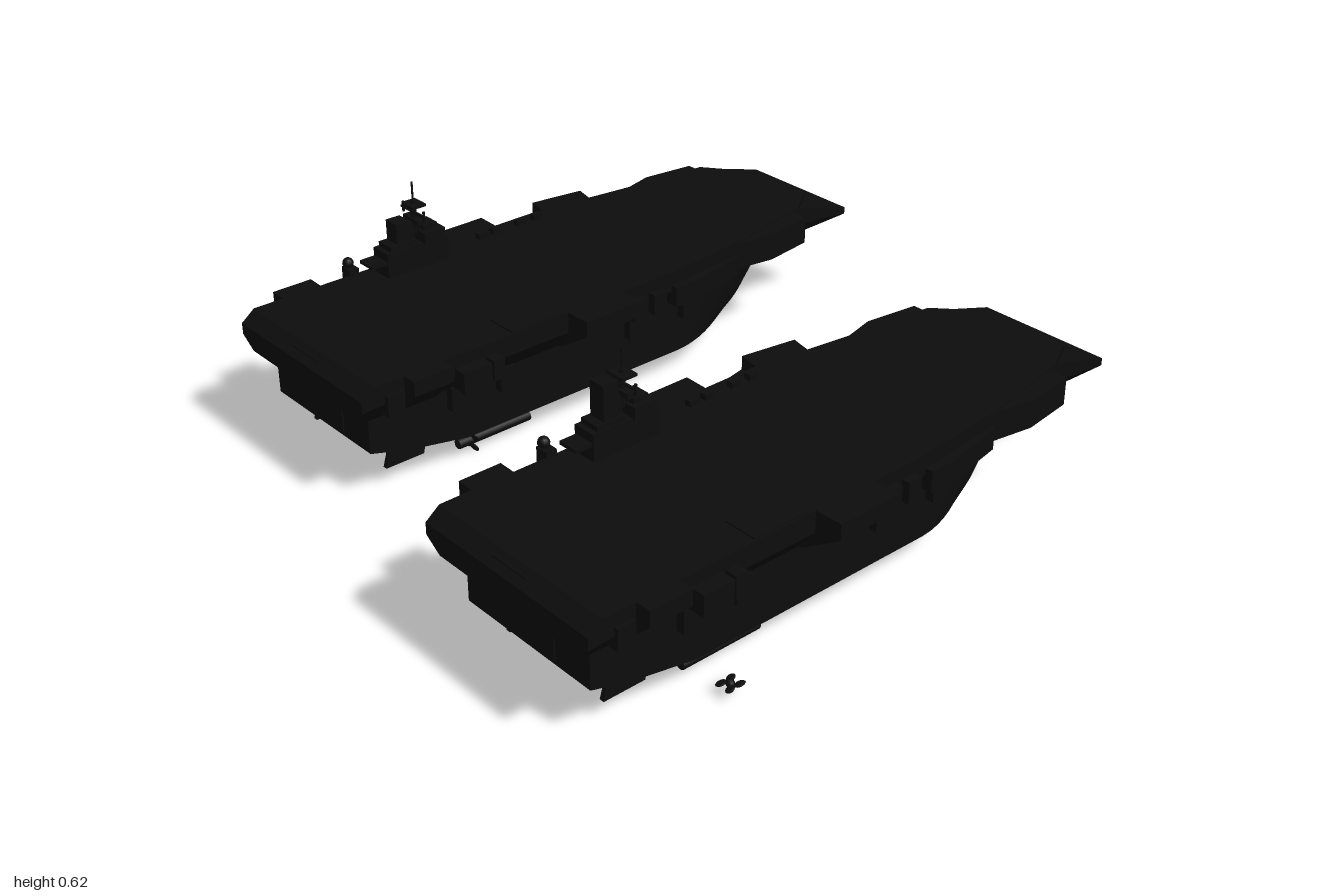
import * as THREE from 'three';
import { toCreasedNormals } from 'three/addons/utils/BufferGeometryUtils.js';

const paint = new THREE.MeshStandardMaterial({ color: 0x0d0d0d });
paint.name = 'near black paint';

function add(group, name, geometry, x = 0, y = 0, z = 0) {
  const mesh = new THREE.Mesh(geometry, paint);
  mesh.name = name;
  mesh.position.set(x, y, z);
  group.add(mesh);
  return mesh;
}

// Box given by its limits
function block(group, name, x0, x1, y0, y1, z0, z1) {
  return add(group, name, new THREE.BoxGeometry(x1 - x0, y1 - y0, z1 - z0),
    (x0 + x1) / 2, (y0 + y1) / 2, (z0 + z1) / 2);
}

// Thin rod between two points
function rod(group, name, a, b, r) {
  const p = new THREE.Vector3(...a), q = new THREE.Vector3(...b);
  const mesh = add(group, name, new THREE.CylinderGeometry(r, r, p.distanceTo(q), 8));
  mesh.position.copy(p).lerp(q, 0.5);
  mesh.quaternion.setFromUnitVectors(new THREE.Vector3(0, 1, 0), q.sub(p).normalize());
  return mesh;
}

// Flat plan outline [x, z] raised from y0 to y1
function plan(group, name, points, y0, y1) {
  const shape = new THREE.Shape(points.map(([x, z]) => new THREE.Vector2(x, -z)));
  const g = new THREE.ExtrudeGeometry(shape, { depth: y1 - y0, bevelEnabled: false });
  g.rotateX(-Math.PI / 2);
  return add(group, name, g, 0, y0, 0);
}

// Skin over closed sections, with both ends capped
function loft(sections) {
  const n = sections[0].length, index = [];
  for (let i = 0; i < sections.length - 1; i++) {
    for (let j = 0; j < n; j++) {
      const a = i * n + j, b = i * n + (j + 1) % n;
      index.push(a, a + n, b + n, a, b + n, b);
    }
  }
  const last = (sections.length - 1) * n;
  for (let j = 1; j < n - 1; j++) index.push(0, j, j + 1, last, last + j + 1, last + j);
  const g = new THREE.BufferGeometry();
  g.setAttribute('position', new THREE.Float32BufferAttribute(sections.flat(2), 3));
  g.setIndex(index);
  return toCreasedNormals(g, 0.5);
}

function hullGeometry() {
  // Waterlines from top to keel: height, stern z, bow z, fullness of the bow
  const levels = [[0.29, 0.855, -0.815, 2.4], [0.2, 0.855, -0.745, 2.1], [0.16, 0.855, -0.715, 1.9],
    [0.125, 0.735, -0.685, 1.8], [0.09, 0.55, -0.61, 1.7]];
  return loft(levels.map(([y, stern, bow, p]) => {
    const side = [[0.22, stern]];
    for (let i = 0; i <= 12; i++) {
      const u = i / 12;
      side.push([0.22 * (1 - u ** p), THREE.MathUtils.lerp(-0.2, bow, u)]);
    }
    const port = side.slice(0, -1).reverse().map(([x, z]) => [-x, z]);
    return [...side, ...port].map(([x, z]) => [x + 0.01, y, z]);
  }));
}

function deckGeometry() {
  // Stations: z, left edge, right edge, top, bottom
  const stations = [[0.905, -0.29, 0.29, 0.355, 0.29], [0.865, -0.29, 0.29, 0.386, 0.265],
    [-0.1, -0.29, 0.29, 0.386, 0.265], [-0.4, -0.25, 0.265, 0.386, 0.27],
    [-0.69, -0.22, 0.21, 0.386, 0.275], [-0.77, -0.195, 0.205, 0.365, 0.28],
    [-0.905, -0.19, 0.205, 0.327, 0.285]];
  return loft(stations.map(([z, l, r, top, bottom]) => {
    const mid = (top + bottom) / 2;
    return [[l * 0.83, bottom, z], [r * 0.83, bottom, z], [r, mid, z], [r, top, z], [l, top, z], [l, mid, z]];
  }));
}

function propeller() {
  const g = new THREE.Group();
  g.name = 'propeller';
  add(g, 'propellerHub', new THREE.SphereGeometry(0.011, 10, 8));
  for (let i = 0; i < 4; i++) {
    const a = (i + 0.5) * Math.PI / 2;
    const blade = add(g, 'propellerBlade', new THREE.SphereGeometry(0.015, 10, 6),
      Math.cos(a) * 0.021, Math.sin(a) * 0.021, 0);
    blade.scale.set(1, 0.8, 0.25);
    blade.rotation.set(0.3, 0.3, a);
  }
  return g;
}

function island(towerTop) {
  const g = new THREE.Group();
  g.name = 'island';
  const x = -0.232;
  block(g, 'islandBase', x - 0.035, x + 0.035, 0.38, 0.46, 0.285, 0.49);
  block(g, 'bridge', x - 0.042, x + 0.042, 0.455, 0.49, 0.3, 0.37);
  block(g, 'bridgeRoof', x - 0.025, x + 0.025, 0.49, 0.505, 0.315, 0.36);
  block(g, 'aftHouse', x - 0.03, x + 0.03, 0.455, 0.475, 0.39, 0.475);
  block(g, 'aftTower', x - 0.025, x + 0.025, 0.46, towerTop, 0.405, 0.45);
  block(g, 'aftPlatform', x - 0.03, x + 0.03, 0.427, 0.437, 0.48, 0.54);
  for (const z of [0.35, 0.385]) rod(g, 'funnel', [x, 0.45, z], [x, 0.52, z + 0.01], 0.012);
  // Mast with yards and aerials
  rod(g, 'mast', [x, 0.48, 0.373], [x, 0.58, 0.373], 0.008);
  rod(g, 'topMast', [x, 0.57, 0.373], [x, 0.635, 0.373], 0.003);
  block(g, 'yard', x - 0.06, x + 0.055, 0.541, 0.547, 0.37, 0.376);
  block(g, 'upperYard', x - 0.025, x + 0.03, 0.565, 0.572, 0.35, 0.395);
  block(g, 'radar', x - 0.035, x + 0.035, 0.515, 0.53, 0.36, 0.386);
  for (const s of [-1, 1]) rod(g, 'aerial', [x + s * 0.05, 0.53, 0.373], [x + s * 0.05, 0.56, 0.373], 0.004);
  return g;
}

function ship(towerTop) {
  const g = new THREE.Group();
  add(g, 'hull', hullGeometry());
  add(g, 'flightDeck', deckGeometry());
  block(g, 'sternDoor', -0.1, 0.11, 0.17, 0.262, 0.853, 0.859);
  g.add(island(towerTop));

  // Side galleries widening the deck
  plan(g, 'leftForwardGallery', [[-0.2, -0.68], [-0.26, -0.68], [-0.28, -0.52], [-0.25, -0.4], [-0.2, -0.4]], 0.3, 0.38);
  plan(g, 'rightForwardGallery', [[0.18, -0.675], [0.265, -0.675], [0.285, -0.52], [0.265, -0.4], [0.18, -0.4]], 0.3, 0.38);
  plan(g, 'rightMidGallery', [[0.25, -0.4], [0.275, -0.39], [0.31, -0.2], [0.31, -0.125], [0.25, -0.125]], 0.285, 0.345);
  plan(g, 'leftMidGallery', [[-0.335, -0.3], [-0.265, -0.285], [-0.285, -0.12], [-0.36, -0.135]], 0.34, 0.38);
  plan(g, 'leftRamp', [[-0.335, -0.11], [-0.32, -0.11], [-0.288, 0.12]], 0.33, 0.36);

  // Deck edge lifts on tapered supports, with sponsons behind them
  for (const [name, s, outer, z0, z1] of [['rightLift', 1, 0.37, 0.055, 0.245], ['leftLift', -1, 0.36, 0.055, 0.245],
    ['rightSponson', 1, 0.335, 0.655, 0.775], ['leftSponson', -1, 0.34, 0.655, 0.775]]) {
    const profile = new THREE.Shape([[0.22, 0.26], [0.25, 0.265], [outer, 0.343], [outer, 0.387], [0.22, 0.384]]
      .map(([x, y]) => new THREE.Vector2(x * s, y)));
    add(g, name, new THREE.ExtrudeGeometry(profile, { depth: z1 - z0, bevelEnabled: false }), 0, 0, z0);
  }
  for (const [x0, x1, z0, z1] of [[0.26, 0.315, -0.085, -0.04], [0.26, 0.312, -0.02, 0.03], [0.26, 0.325, 0.485, 0.52],
    [0.26, 0.33, 0.53, 0.62], [0.26, 0.302, 0.785, 0.835], [-0.315, -0.26, 0.255, 0.345],
    [-0.335, -0.26, 0.445, 0.505], [-0.325, -0.26, 0.52, 0.6]]) {
    block(g, 'gunPlatform', x0, x1, 0.29, 0.35, z0, z1);
  }
  for (const z of [-0.25, -0.05, 0.4, 0.56]) {
    block(g, 'sideBracket', 0.22, 0.255, 0.2, 0.27, z, z + 0.05);
    block(g, 'boatRack', -0.235, -0.2, 0.235, 0.27, z, z + 0.07);
  }

  // Deck fittings
  block(g, 'deckHatch', 0.19, 0.285, 0.384, 0.39, 0.26, 0.43);
  for (const z of [-0.08, -0.02, 0.07, 0.12]) block(g, 'deckTractor', -0.26, -0.24, 0.38, 0.403, z, z + 0.03);
  add(g, 'radome', new THREE.SphereGeometry(0.016, 12, 8), -0.31, 0.415, 0.55);
  block(g, 'radomeStand', -0.32, -0.28, 0.35, 0.405, 0.535, 0.565);
  rod(g, 'whipAerial', [0.205, 0.37, -0.7], [0.22, 0.435, -0.715], 0.002);
  rod(g, 'sternRail', [-0.06, 0.375, 0.885], [0.06, 0.375, 0.885], 0.004);

  // Rudders
  for (const x of [-0.16, 0.18]) {
    const s = new THREE.Shape([[0.665, 0.067], [0.785, 0.067], [0.76, 0.15], [0.65, 0.13]].map(([z, y]) => new THREE.Vector2(-z, y)));
    const r = add(g, 'rudder', new THREE.ExtrudeGeometry(s, { depth: 0.014, bevelEnabled: false }), x - 0.007, 0, 0);
    r.rotation.y = Math.PI / 2;
  }
  return g;
}

function shaft(group, x) {
  rod(group, 'propellerShaft', [x, 0.05, 0.315], [x, 0.05, 0.555], 0.015);
  for (const z of [0.34, 0.43, 0.52]) rod(group, 'shaftStrut', [x, 0.05, z], [x, 0.1, z - 0.03], 0.006);
}

export function createModel() {
  const model = new THREE.Group();
  const first = ship(0.535), second = ship(0.57);
  first.name = 'firstCarrier';
  second.name = 'secondCarrier';
  first.position.set(-0.57, 0, -0.095);
  second.position.set(0.56, 0, 0.095);

  // Upright propellers on the first ship
  for (const x of [-0.15, 0.185]) {
    shaft(first, x);
    const p = propeller();
    p.position.set(x, 0.045, 0.51);
    first.add(p);
  }
  // Second ship: one shaft, and a propeller lying flat beside it
  shaft(second, 0.18);
  const loose = propeller();
  loose.position.set(0.305, 0.048, 0.515);
  loose.rotation.x = Math.PI / 2;
  second.add(loose);

  model.add(first, second);
  return model;
}
